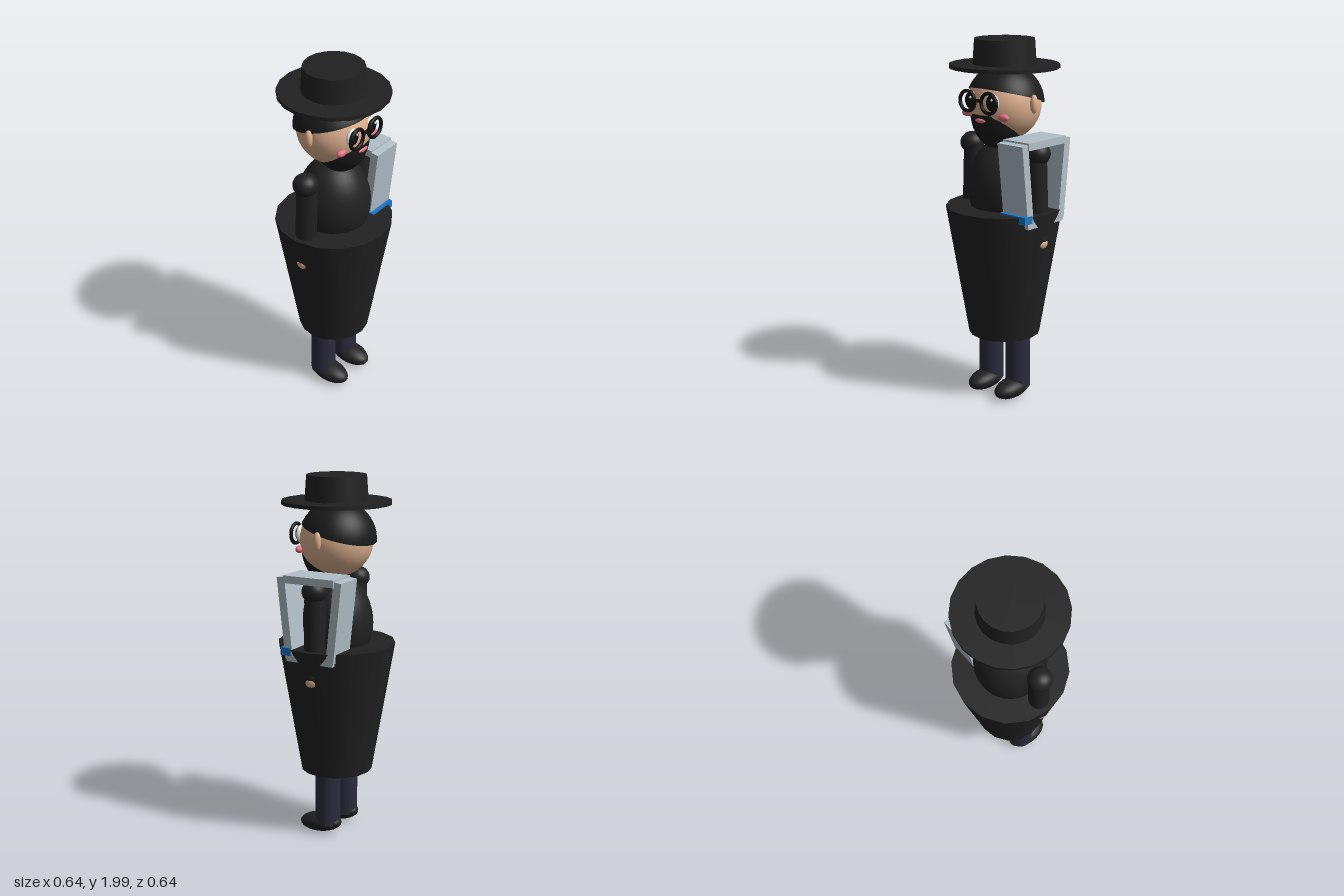
import * as THREE from 'three';

const mat = (name, color, side = THREE.FrontSide) => {
  const m = new THREE.MeshStandardMaterial({ color, side });
  m.name = name;
  return m;
};

export function createModel() {
  const root = new THREE.Group();
  root.name = 'figure';
  const black = mat('black cloth', 0x212121);
  const hairBlack = mat('black hair', 0x1b1b1b, THREE.DoubleSide);
  const skin = mat('skin', 0xdeb08e);
  const navy = mat('navy trousers', 0x2c2b3d);
  const pink = mat('pink', 0xde6e80);
  const white = mat('eye white', 0xf2f2f2);
  const ink = mat('ink black', 0x101010);
  const steel = mat('pale steel', 0xb3c0c9);
  const blue = mat('blue', 0x1c76c8);

  const add = (name, geo, material, x, y, z, parent = root) => {
    const m = new THREE.Mesh(geo, material);
    m.name = name;
    m.position.set(x, y, z);
    parent.add(m);
    return m;
  };
  const ball = (name, material, [x, y, z], [rx, ry, rz], parent = root) => {
    const m = add(name, new THREE.SphereGeometry(1, 28, 20), material, x, y, z, parent);
    m.scale.set(rx, ry, rz);
    return m;
  };
  // Cylinder running between two points
  const limb = (name, material, a, b, r) => {
    const p = new THREE.Vector3(...a), q = new THREE.Vector3(...b);
    const d = q.clone().sub(p);
    const m = add(name, new THREE.CylinderGeometry(r, r, d.length(), 20), material, 0, 0, 0);
    m.position.copy(p).add(q).multiplyScalar(0.5);
    m.quaternion.setFromUnitVectors(new THREE.Vector3(0, 1, 0), d.normalize());
    return m;
  };

  // Coat and torso
  add('coat', new THREE.CylinderGeometry(0.322, 0.198, 0.73, 16), black, 0, 0.73, 0);
  ball('torso', black, [0, 1.2, 0], [0.2, 0.265, 0.2]);

  // Paired limbs
  for (const s of [-1, 1]) {
    limb('leg', navy, [s * 0.1, 0.06, 0], [s * 0.1, 0.45, 0], 0.07);
    ball('shoe', black, [s * 0.1, 0.06, 0.045], [0.073, 0.053, 0.126]).rotation.x = 0.1;
    limb('arm', black, [s * 0.226, 1.41, 0], [s * 0.244, 0.95, 0], 0.057);
    ball('shoulder', black, [s * 0.238, 1.41, 0], [0.068, 0.062, 0.068]);
    ball('hand', skin, [s * 0.247, 0.925, 0], [0.05, 0.045, 0.05]);
  }

  // Head, hair cap and beard
  const head = new THREE.Group();
  head.name = 'head';
  root.add(head);
  ball('face', skin, [0, 1.655, 0], [0.2, 0.2, 0.198], head);
  add('hair', new THREE.SphereGeometry(0.211, 32, 14, 0, Math.PI * 2, 0, 1.37),
    hairBlack, 0, 1.655, -0.006, head).rotation.x = -0.27;
  const beard = add('beard', new THREE.SphereGeometry(1, 32, 14, 0, Math.PI * 2, Math.PI / 2, Math.PI / 2),
    hairBlack, 0, 1.612, 0.048, head);
  beard.scale.set(0.152, 0.2, 0.147);
  ball('lips', pink, [0, 1.582, 0.188], [0.036, 0.013, 0.014], head);

  // Ears, cheeks, eyes and spectacle rims
  for (const s of [-1, 1]) {
    ball('ear', skin, [s * 0.208, 1.67, 0], [0.02, 0.05, 0.022], head);
    ball('cheek', pink, [s * 0.13, 1.607, 0.152], [0.034, 0.02, 0.02], head);
    ball('eyeWhite', white, [s * 0.076, 1.682, 0.176], [0.042, 0.048, 0.02], head);
    ball('pupil', ink, [s * 0.076, 1.682, 0.183], [0.037, 0.043, 0.018], head);
    ball('eyeGlint', white, [s * 0.076 + 0.012, 1.7, 0.198], [0.007, 0.007, 0.005], head);
    add('spectacleRim', new THREE.TorusGeometry(0.053, 0.01, 10, 28), ink, s * 0.076, 1.682, 0.207, head);
  }
  add('spectacleBridge', new THREE.BoxGeometry(0.05, 0.014, 0.014), ink, 0, 1.69, 0.207, head);

  // Hat
  const hat = new THREE.Group();
  hat.name = 'hat';
  root.add(hat);
  add('brim', new THREE.CylinderGeometry(0.297, 0.297, 0.02, 20), black, 0, 1.856, 0, hat);
  add('crown', new THREE.CylinderGeometry(0.162, 0.172, 0.14, 20), black, 0, 1.93, 0, hat);

  // Folding frame beside the left arm: a top slab on two splayed panels
  const frame = new THREE.Group();
  frame.name = 'foldingFrame';
  root.add(frame);
  add('frameTop', new THREE.BoxGeometry(0.178, 0.04, 0.302), steel, 0.216, 1.474, 0, frame);
  for (const s of [-1, 1]) {
    add('framePanel', new THREE.BoxGeometry(0.172, 0.43, 0.046), steel, 0.213, 1.263, s * 0.147, frame)
      .rotation.x = s * 0.11;
    add('frameShoulder', new THREE.BoxGeometry(0.172, 0.035, 0.05), steel, 0.213, 1.465, s * 0.167, frame)
      .rotation.x = s * 0.11;
    // Foot with a sloped inner edge
    const foot = new THREE.Shape([[0.06, 1.03], [0.14, 1.03], [0.145, 1.075], [0.088, 1.075], [0.06, 1.05]]
      .map(([z, y]) => new THREE.Vector2(-s * z, y)));
    add('frameFoot', new THREE.ExtrudeGeometry(foot, { depth: 0.17, bevelEnabled: false }),
      steel, 0.128, 0, 0, frame).rotation.y = Math.PI / 2;
  }
  add('frameBlueBar', new THREE.BoxGeometry(0.174, 0.042, 0.062), blue, 0.214, 1.082, 0.144, frame);

  return root;
}
